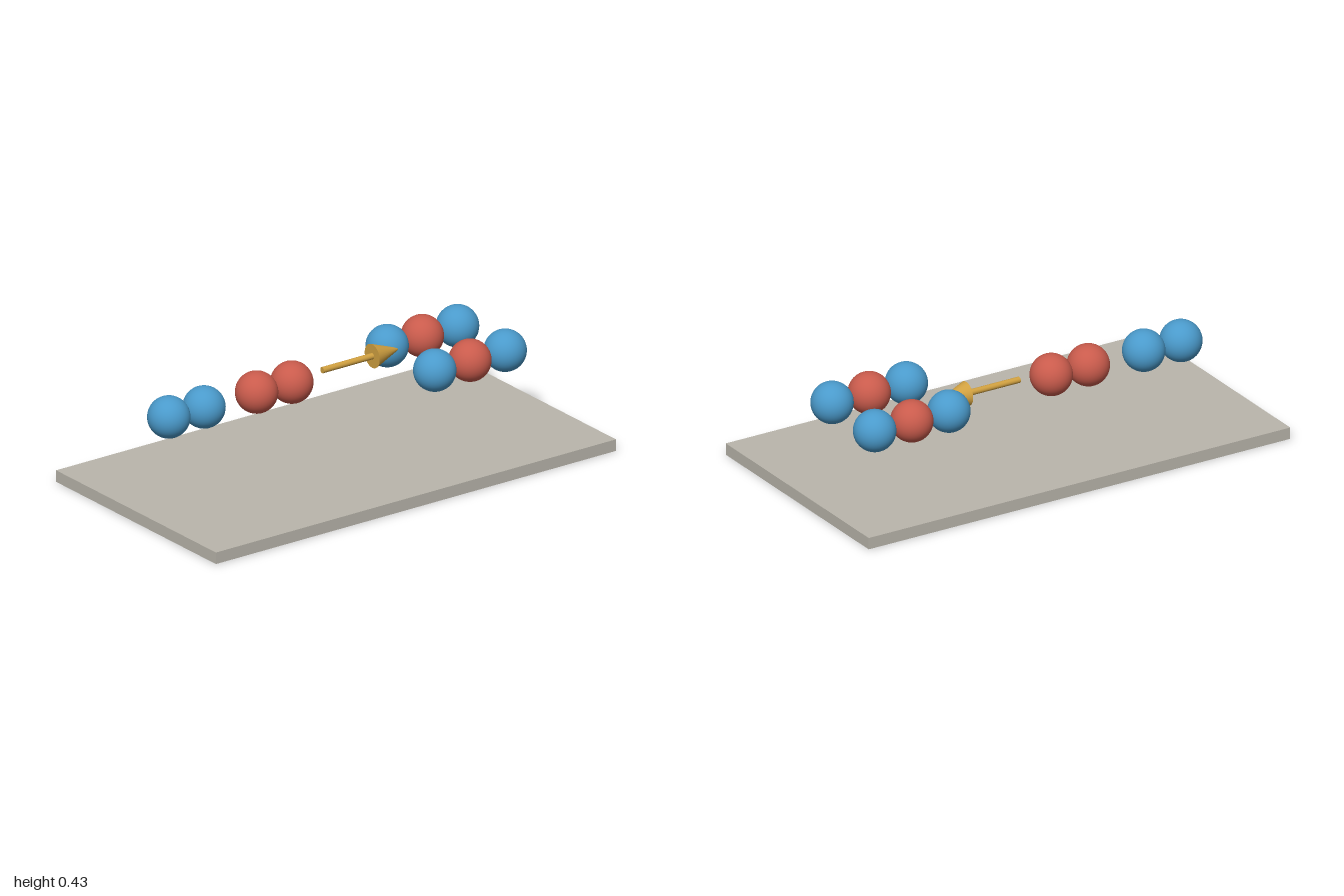
import * as THREE from 'three';

const paint = (name, color) => {
  const m = new THREE.MeshStandardMaterial({ color });
  m.name = name;
  return m;
};

export function createModel() {
  const blue = paint('blue', 0x4a9acb);
  const red = paint('red', 0xc95b4c);
  const gold = paint('gold', 0xd0a040);
  const grey = paint('warm grey', 0xbab6ac);

  const model = new THREE.Group();
  model.name = 'moleculeReaction';

  const add = (parent, name, geometry, material, x, y, z) => {
    const mesh = new THREE.Mesh(geometry, material);
    mesh.name = name;
    mesh.position.set(x, y, z);
    parent.add(mesh);
    return mesh;
  };

  // Base slab
  add(model, 'base', new THREE.BoxGeometry(2, 0.05, 1.078), grey, 0, 0.025, 0);

  // Molecules: rows of touching atoms along x
  const atom = new THREE.SphereGeometry(0.0875, 40, 28);
  const spacing = 0.176;
  const molecule = (name, materials, x, z) => {
    const group = new THREE.Group();
    group.name = name;
    group.position.set(x, 0.347, z);
    materials.forEach((m, i) =>
      add(group, m.name + 'Atom', atom, m, (i - (materials.length - 1) / 2) * spacing, 0, 0));
    model.add(group);
  };
  molecule('blueReactant', [blue, blue], -0.642, -0.143);
  molecule('redReactant', [red, red], -0.203, -0.143);
  molecule('backProduct', [blue, red, blue], 0.597, -0.223);
  molecule('frontProduct', [blue, red, blue], 0.597, 0.098);

  // Arrow pointing from reactants to products
  const arrow = new THREE.Group();
  arrow.name = 'arrow';
  arrow.position.set(0, 0.361, -0.143);
  const shaft = new THREE.CylinderGeometry(0.013, 0.013, 0.25, 24).rotateZ(-Math.PI / 2);
  const head = new THREE.ConeGeometry(0.051, 0.14, 32).rotateZ(-Math.PI / 2);
  add(arrow, 'arrowShaft', shaft, gold, 0.162, 0, 0);
  add(arrow, 'arrowHead', head, gold, 0.357, 0, 0);
  model.add(arrow);

  return model;
}
